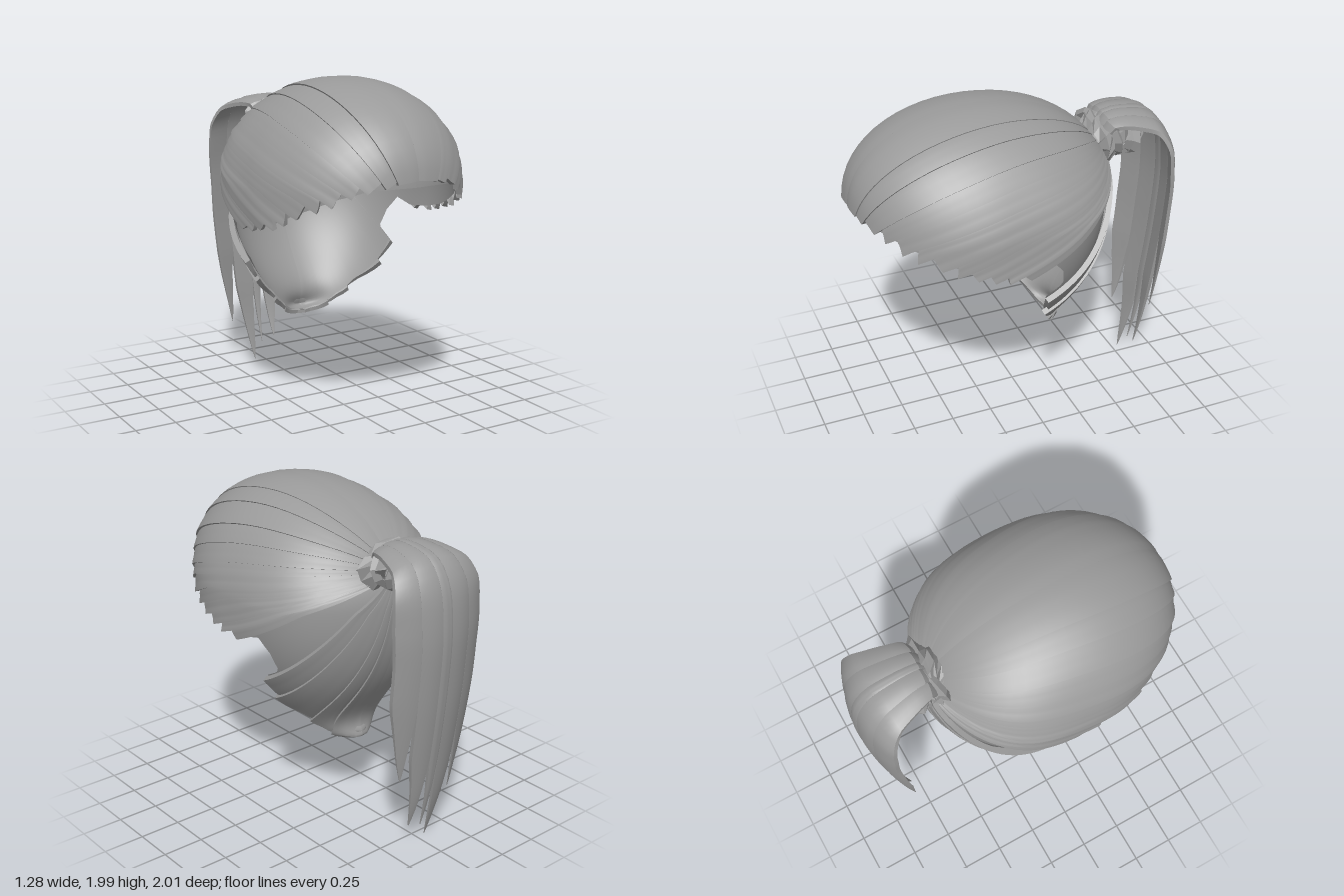
import * as THREE from 'three';
import { toCreasedNormals } from 'three/addons/utils/BufferGeometryUtils.js';

const hair = new THREE.MeshStandardMaterial({ color: 0x9a9a9a, side: THREE.DoubleSide });
hair.name = 'grey hair';

// Seeded noise in 0..1
let seed = 7;
const rnd = () => (seed = (seed * 16807) % 2147483647) / 2147483647;

// Skin a grid of points; normals point along (row step) x (column step)
function skin(name, rows, flip, crease = 0.5) {
  const n = rows[0].length, pos = [], idx = [];
  rows.forEach(r => r.forEach(p => pos.push(p.x, p.y, p.z)));
  for (let i = 0; i < rows.length - 1; i++) for (let j = 0; j < n - 1; j++) {
    const a = i * n + j, b = a + n, c = b + 1, d = a + 1;
    if (flip) idx.push(a, c, b, a, d, c);
    else idx.push(a, b, c, a, c, d);
  }
  const g = new THREE.BufferGeometry();
  g.setAttribute('position', new THREE.Float32BufferAttribute(pos, 3));
  g.setIndex(idx);
  const mesh = new THREE.Mesh(toCreasedNormals(g, crease), hair);
  mesh.name = name;
  return mesh;
}

// Head surface: unit direction -> point on an ellipsoid with a full brow, broad back and tucked nape
const CY = 1.4, CZ = 0.25, WIDE = 0.626, FRONT = 0.75, BACK = 0.845, UP = 0.592, DOWN = 0.94;
const tuck = dy => 0.47 * Math.pow(Math.max(0, -dy), 10);
function onHead(d, off, side) {
  const back = Math.min(0, d.z) ** 2;
  const brow = 0.09 * Math.max(0, d.z) * Math.max(0, d.y);
  return new THREE.Vector3(
    side * d.x * (WIDE + off) * (1 + 0.42 * back * (1 - back)),
    CY + d.y * ((d.y > 0 ? UP : DOWN) + off),
    CZ + d.z * ((d.z > 0 ? FRONT : BACK) + off) + brow - tuck(d.y));
}
// Inverse: direction of the surface point with the given z and y
function dirAt([z, y]) {
  const dy = Math.max(-1, (y - CY) / (y > CY ? UP : DOWN));
  const z0 = z - CZ + tuck(dy);
  const dz = z0 / (z0 > 0 ? FRONT : BACK);
  return new THREE.Vector3(Math.sqrt(Math.max(0, 1 - dy * dy - dz * dz)), dy, dz).normalize();
}
// All hair fans out from the gathering point along great circles
const gather = new THREE.Vector3(0, 0.33, -0.944).normalize();
function comb(end, t) {
  const w = gather.angleTo(end), s = Math.sin(w);
  return gather.clone().multiplyScalar(Math.sin((1 - t) * w) / s)
    .addScaledVector(end, Math.sin(t * w) / s);
}

// Hairlines as (z, y), from the centre towards the side
const capLine = [[1, 1.46], [0.985, 1.46], [0.96, 1.455], [0.915, 1.445], [0.85, 1.41], [0.75, 1.36],
  [0.6, 1.29], [0.45, 1.22], [0.3, 1.18], [0.1, 1.15]].map(dirAt);
const earLine = [[-0.04, 1.18], [-0.11, 1.09], [-0.13, 0.99], [-0.1, 0.94]].map(dirAt);
const napeLine = [[-0.02, 0.91], [-0.03, 0.8], [-0.12, 0.65], [-0.17, 0.55], [-0.2, 0.5],
  [-0.215, 0.475], [-0.22, 0.46]].map(dirAt);
function along(line, s) {
  const i = Math.min(line.length - 2, Math.floor(s));
  return line[i].clone().lerp(line[i + 1], s - i).normalize();
}

// Smooth inner shell, one half
function shell(side) {
  const line = [...capLine, ...earLine, ...napeLine], rows = [];
  for (let i = 0; i <= 32; i++) {
    const row = [];
    for (let s = 0; s <= line.length - 1; s += 0.25)
      row.push(onHead(comb(along(line, s), i / 32), -0.032, side));
    rows.push(row);
  }
  return skin('innerShell', rows, side < 0, 0.9);
}

// One combed lock: raised along its lower edge, with a slanted blunt end
const ROOT = -0.022;
function lock(name, line, s0, s1, side, lift, reach, jag) {
  const cuts = [[0, ROOT], [0, -0.004], [0.2, 0], [0.4, 0.001], [0.6, lift * 0.4], [0.8, lift * 0.8], [1, lift], [1, ROOT]];
  const rows = [], M = 26;
  for (let i = 0; i <= M + 1; i++) {
    const u = Math.min(i, M) / M, ramp = 0.4 + 0.6 * u;
    rows.push(cuts.map(([v, o]) => {
      const t = u * (reach + jag * (v - 0.55));
      const off = i > M || o === ROOT ? ROOT : o * ramp;
      return onHead(comb(along(line, s0 + (s1 - s0) * v), t), off, side);
    }));
  }
  return skin(name, rows, side < 0);
}

// Mirrored row of locks; those nearest the centre line stop just short of the smooth hairline
function locks(name, line, edges, jag, short) {
  const g = new THREE.Group();
  g.name = name;
  for (const side of [1, -1]) for (let k = 0; k < edges.length - 1; k++) {
    const front = Math.max(0, 1 - edges[k] / 4);
    g.add(lock(name + 'Lock', line, edges[k], edges[k + 1], side, 0.004 + 0.012 * rnd() * (1 - 0.5 * front),
      1 - short * front, jag * (0.6 + 0.8 * rnd()) * (1 - 0.9 * front)));
  }
  return g;
}

// Gathered, crumpled knot running backwards from the head
function knot() {
  const g = new THREE.Group();
  g.name = 'knot';
  const prof = [[-0.44, 0.09], [-0.49, 0.12], [-0.53, 0.15], [-0.58, 0.12], [-0.64, 0.14], [-0.72, 0.12], [-0.79, 0.08], [-0.81, 0]];
  const N = 14;
  const rows = prof.map(([z, r], i) => {
    const row = [];
    for (let j = 0; j < N; j++) {
      const a = j / N * Math.PI * 2 + i * 0.25, k = r * (0.8 + 0.4 * rnd());
      row.push(new THREE.Vector3(Math.cos(a) * k * 1.35, 1.64 + i * 0.005 + Math.sin(a) * k * 0.95, z + (rnd() - 0.5) * 0.04));
    }
    row.push(row[0].clone());
    return row;
  });
  g.add(skin('knotCore', rows, true, 0.1));
  // Wrapped folds around the core
  for (let k = 0; k < 4; k++) {
    const fold = new THREE.Mesh(toCreasedNormals(new THREE.TorusGeometry(0.118, 0.028, 4, 11), 0.3), hair);
    fold.name = 'knotFold';
    fold.position.set((rnd() - 0.5) * 0.06, 1.65 + 0.005 * k, -0.53 - 0.055 * k);
    fold.rotation.set((rnd() - 0.5) * 0.7, (rnd() - 0.5) * 0.7, (rnd() - 0.5) * 0.4);
    fold.scale.set(1.4, 0.9, 1);
    g.add(fold);
  }
  return g;
}

// Ponytail: side by side locks following one path, bowed across, each with its own tip
const tailPath = new THREE.CatmullRomCurve3([[1.7, -0.5], [1.79, -0.55], [1.812, -0.62], [1.805, -0.75],
  [1.77, -0.87], [1.65, -0.96], [1.4, -1], [1, -0.98], [0.6, -0.93], [0.3, -0.88], [0, -0.8]]
  .map(([y, z]) => new THREE.Vector3(0, y, z)));
const halfWidths = [0.16, 0.205, 0.265, 0.315, 0.32, 0.31, 0.31, 0.3, 0.29, 0.27, 0.26, 0.26];
function tailPoint(f, u, depth) {
  const p = tailPath.getPointAt(u), t = tailPath.getTangentAt(u);
  const s = u * 11, i = Math.min(10, Math.floor(s));
  const w = halfWidths[i] + (halfWidths[i + 1] - halfWidths[i]) * (s - i);
  const inward = depth + f * f * 0.085 * Math.min(1, 0.3 + u * 2);
  return new THREE.Vector3(f * w, p.y + t.z * inward, p.z - t.y * inward);
}
function ponytail() {
  const g = new THREE.Group();
  g.name = 'ponytail';
  const edges = [-1, -0.55, -0.08, 0.14, 0.56, 1];
  const tips = [[-0.21, 0.27], [-0.06, 0], [0.01, 0.1], [0.1, 0.12], [0.2, 0.47]];
  const cuts = [[-1, 0.028], [-1, 0.005], [-0.5, 0], [0, 0], [0.5, 0], [1, 0.004], [1, 0.028],
    [0.5, 0.032], [0, 0.032], [-0.5, 0.032], [-1, 0.028]];
  const M = 36;
  tips.forEach(([tipX, tipY], k) => {
    let uEnd = 1;
    while (uEnd > 0.5 && tailPath.getPointAt(uEnd).y < tipY) uEnd -= 0.005;
    const mid = (edges[k] + edges[k + 1]) / 2, half = (edges[k + 1] - edges[k]) / 2, rows = [];
    for (let i = 0; i <= M; i++) {
      const u = uEnd * i / M;
      const left = tailPath.getPointAt(u).y - tipY;
      const taper = Math.min(1, Math.max(0, left) / 0.48);
      const width = Math.pow(taper, 0.8) * half;
      const c = mid + (tipX / 0.26 - mid) * (1 - taper);
      rows.push(cuts.map(([v, d]) => tailPoint(c + v * width, u, d * (0.15 + 0.85 * taper))));
    }
    g.add(skin('tailLock', rows, true));
  });
  return g;
}

export function createModel() {
  const model = new THREE.Group();
  model.name = 'ponytailHair';
  model.add(shell(1), shell(-1));
  model.add(locks('cap', capLine, [0, 1.1, 1.9, 3, 3.8, 4.7, 5.3, 6, 6.6, 7.2, 7.9, 8.4, 9], 0.06, 0.02));
  model.add(locks('nape', napeLine.slice().reverse(), [0, 2.2, 3.6, 4.9, 6], 0.03, 0));
  model.add(knot(), ponytail());
  return model;
}
